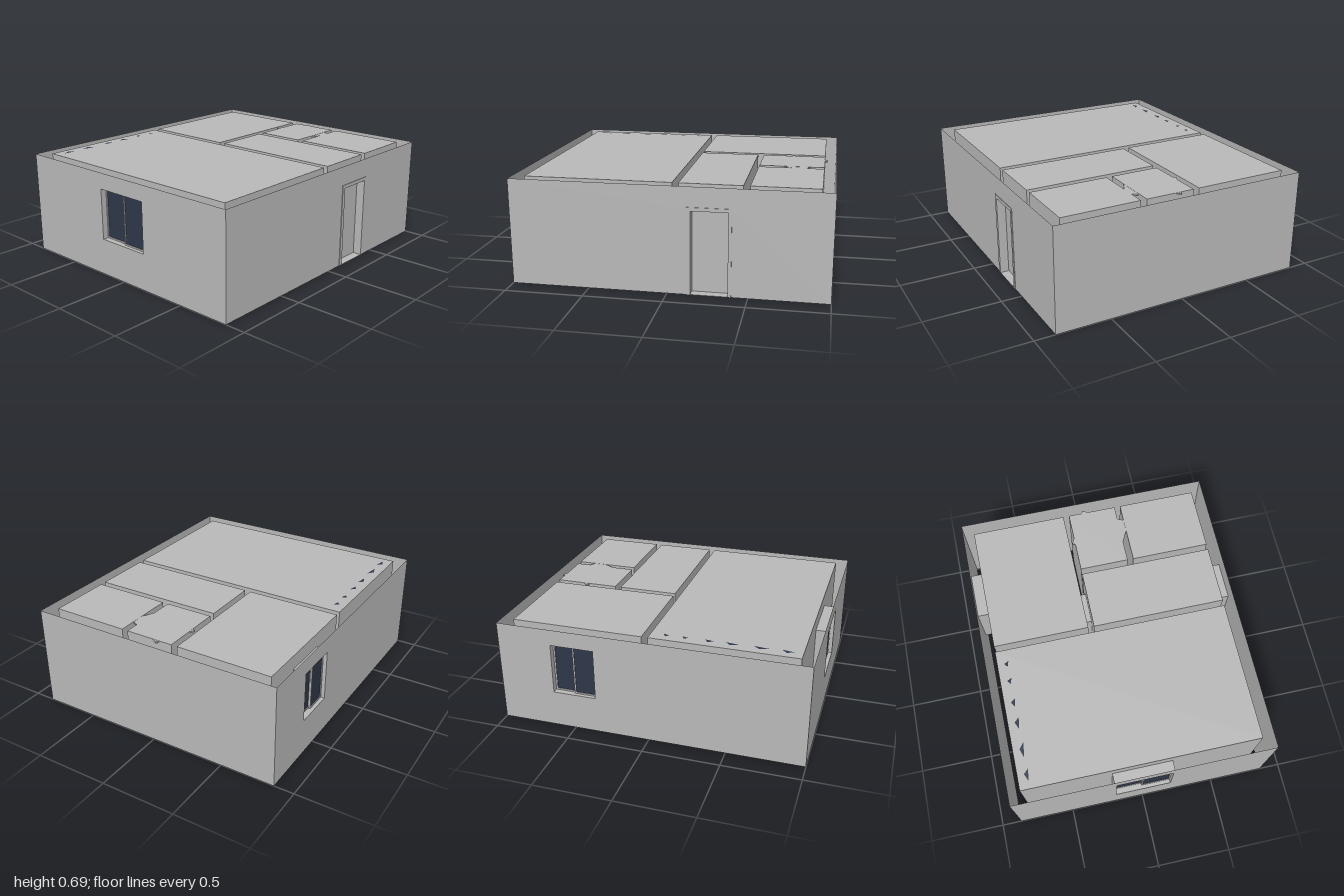
import * as THREE from 'three';

const H = 0.685; // wall height

// Rooms: [name, x0, x1, z0, z1]
const ROOMS = [
  ['livingRoom', -0.92, 0.02, -0.79, 0.785],
  ['backBedroom', 0.06, 0.92, -0.79, -0.15],
  ['hall', 0.06, 0.455, -0.11, 0.785],
  ['bathroom', 0.495, 0.92, -0.11, 0.22],
  ['frontBedroom', 0.495, 0.92, 0.26, 0.785],
];
const OUTER = ['outerShell', -1, 1, -0.868, 0.864];

// Openings run through a wall along `axis` from d0 to d1, spanning a..b across it
const OPENINGS = [
  { name: 'frontDoor', axis: 'z', d0: 0.785, d1: 0.864, a: 0.136, b: 0.388, y0: 0.003, y1: 0.545 },
  { name: 'backWindow', axis: 'z', d0: -0.868, d1: -0.79, a: 0.34, b: 0.65, y0: 0.23, y1: 0.59 },
  { name: 'leftWindow', axis: 'x', d0: -1, d1: -0.92, a: -0.2, b: 0.2, y0: 0.23, y1: 0.59 },
  { name: 'livingDoor', axis: 'x', d0: 0.02, d1: 0.06, a: 0.05, b: 0.255, y0: 0.003, y1: 0.545 },
  { name: 'backBedroomDoor', axis: 'z', d0: -0.15, d1: -0.11, a: 0.155, b: 0.365, y0: 0.003, y1: 0.545 },
  { name: 'bathroomDoor', axis: 'x', d0: 0.455, d1: 0.495, a: -0.045, b: 0.14, y0: 0.003, y1: 0.545 },
  { name: 'frontBedroomDoor', axis: 'x', d0: 0.455, d1: 0.495, a: 0.43, b: 0.615, y0: 0.003, y1: 0.545 },
];

export function createModel() {
  const plaster = new THREE.MeshStandardMaterial({ color: 0xb8b8b8, side: THREE.DoubleSide });
  plaster.name = 'grey plaster';
  const glass = new THREE.MeshStandardMaterial({ color: 0x2e3748, side: THREE.DoubleSide });
  glass.name = 'dark blue glass';

  const model = new THREE.Group();
  model.name = 'house';

  const add = (parent, name, geo, mat, x = 0, y = 0, z = 0) => {
    const mesh = new THREE.Mesh(geo, mat);
    mesh.name = name;
    mesh.position.set(x, y, z);
    parent.add(mesh);
    return mesh;
  };
  const group = (name) => {
    const g = new THREE.Group();
    g.name = name;
    model.add(g);
    return g;
  };
  const box = (parent, name, mat, x0, x1, y0, y1, z0, z1) =>
    add(parent, name, new THREE.BoxGeometry(x1 - x0, y1 - y0, z1 - z0), mat,
      (x0 + x1) / 2, (y0 + y1) / 2, (z0 + z1) / 2);
  const path = (P, a, b, y0, y1) => {
    const p = new P();
    p.moveTo(a, y0);
    p.lineTo(b, y0);
    p.lineTo(b, y1);
    p.lineTo(a, y1);
    p.closePath();
    return p;
  };

  // Thin upright wall sheet, pierced by every opening that ends on it
  function wall(parent, name, axis, at, a, b) {
    const shape = path(THREE.Shape, a, b, 0, H);
    for (const o of OPENINGS) {
      if (o.axis === axis && (o.d0 === at || o.d1 === at) && o.a > a && o.b < b) {
        shape.holes.push(path(THREE.Path, o.a, o.b, o.y0, o.y1));
      }
    }
    const geo = new THREE.ShapeGeometry(shape);
    if (axis === 'x') geo.rotateY(-Math.PI / 2);
    add(parent, name, geo, plaster, axis === 'x' ? at : 0, 0, axis === 'z' ? at : 0);
  }

  function fourWalls(parent, [, x0, x1, z0, z1]) {
    wall(parent, 'leftWall', 'x', x1, z0, z1);
    wall(parent, 'rightWall', 'x', x0, z0, z1);
    wall(parent, 'frontWall', 'z', z1, x0, x1);
    wall(parent, 'backWall', 'z', z0, x0, x1);
  }

  // Horizontal sheet
  function sheet(parent, name, x0, x1, z0, z1, y) {
    const geo = new THREE.PlaneGeometry(x1 - x0, z1 - z0).rotateX(-Math.PI / 2);
    add(parent, name, geo, plaster, (x0 + x1) / 2, y, (z0 + z1) / 2);
  }

  // Outer shell, open above and below the wall cavities
  fourWalls(group('outerShell'), OUTER);

  // Closed rooms
  for (const room of ROOMS) {
    const g = group(room[0]);
    fourWalls(g, room);
    const [, x0, x1, z0, z1] = room;
    sheet(g, 'floor', x0, x1, z0, z1, 0);
    sheet(g, 'ceiling', x0, x1, z0, z1, H);
  }

  // Reveals lining each opening
  for (const o of OPENINGS) {
    const g = group(o.name + 'Reveal');
    const depth = o.d1 - o.d0, mid = (o.d0 + o.d1) / 2;
    const [x0, x1, z0, z1] = o.axis === 'x' ? [o.d0, o.d1, o.a, o.b] : [o.a, o.b, o.d0, o.d1];
    sheet(g, 'threshold', x0, x1, z0, z1, o.y0);
    sheet(g, 'head', x0, x1, z0, z1, o.y1);
    for (const side of [o.a, o.b]) {
      const geo = new THREE.PlaneGeometry(depth, o.y1 - o.y0);
      if (o.axis === 'z') geo.rotateY(Math.PI / 2);
      const y = (o.y0 + o.y1) / 2;
      if (o.axis === 'x') add(g, 'jamb', geo, plaster, mid, y, side);
      else add(g, 'jamb', geo, plaster, side, y, mid);
    }
  }

  // Sliding window, built facing -z with its outer face at z = 0
  function slidingWindow(name, w) {
    const g = group(name);
    const y0 = 0.23, y1 = 0.59, t = 0.012, h = w / 2;
    box(g, 'frameSide', plaster, -h, -h + t, y0, y1, 0, 0.06);
    box(g, 'frameSide', plaster, h - t, h, y0, y1, 0, 0.06);
    box(g, 'frameHead', plaster, -h, h, y1 - t, y1, 0, 0.06);
    box(g, 'frameSill', plaster, -h, h, y0, y0 + t, 0, 0.06);
    [-1, 1].forEach((s, i) => {
      const z = 0.025 + i * 0.014, xa = s < 0 ? -h + t : -0.008, xb = s < 0 ? 0.008 : h - t;
      box(g, 'sashStile', plaster, xa, xa + 0.01, y0 + t, y1 - t, z, z + 0.012);
      box(g, 'sashStile', plaster, xb - 0.01, xb, y0 + t, y1 - t, z, z + 0.012);
      box(g, 'sashRail', plaster, xa, xb, y0 + t, y0 + t + 0.01, z, z + 0.012);
      box(g, 'sashRail', plaster, xa, xb, y1 - t - 0.01, y1 - t, z, z + 0.012);
      box(g, 'pane', glass, xa + 0.01, xb - 0.01, y0 + t + 0.01, y1 - t - 0.01, z + 0.004, z + 0.008);
    });
    return g;
  }
  slidingWindow('backWindow', 0.31).position.set(0.495, 0, -0.868);
  const leftWindow = slidingWindow('leftWindow', 0.4);
  leftWindow.rotation.y = Math.PI / 2;
  leftWindow.position.set(-1, 0, 0);

  // Front door: trim plate, frame and recessed leaf
  const door = group('frontDoor');
  const trim = path(THREE.Shape, 0.122, 0.398, 0, 0.558);
  trim.holes.push(path(THREE.Path, 0.147, 0.377, 0.003, 0.535));
  add(door, 'trim', new THREE.ExtrudeGeometry(trim, { depth: 0.004, bevelEnabled: false }), plaster, 0, 0, 0.864);
  box(door, 'frameSide', plaster, 0.136, 0.147, 0.003, 0.545, 0.79, 0.864);
  box(door, 'frameSide', plaster, 0.377, 0.388, 0.003, 0.545, 0.79, 0.864);
  box(door, 'frameHead', plaster, 0.147, 0.377, 0.535, 0.545, 0.79, 0.864);
  box(door, 'leaf', plaster, 0.147, 0.377, 0.004, 0.535, 0.79, 0.81);

  // Turned panel at bathroom ceiling level, poking through the walls
  const panel = add(model, 'bathroomPanel', new THREE.BoxGeometry(0.268, 0.01, 0.34), plaster, 0.744, 0.679, 0.082);
  panel.rotation.y = -Math.atan(0.5);

  // Dark slivers of a curtain top along the back of the living room
  const curtain = group('curtainTop');
  [[-0.87, 0.08], [-0.72, 0.1], [-0.53, 0.08], [-0.38, 0.06], [-0.22, 0.04], [-0.1, 0.04]].forEach(([x, w]) => {
    const s = new THREE.Shape();
    s.moveTo(0, 0);
    s.lineTo(w, -0.012);
    s.lineTo(w * 0.6, 0.02);
    s.closePath();
    add(curtain, 'fold', new THREE.ShapeGeometry(s).rotateX(-Math.PI / 2), glass, x, H + 0.002, -0.725);
  });

  return model;
}
